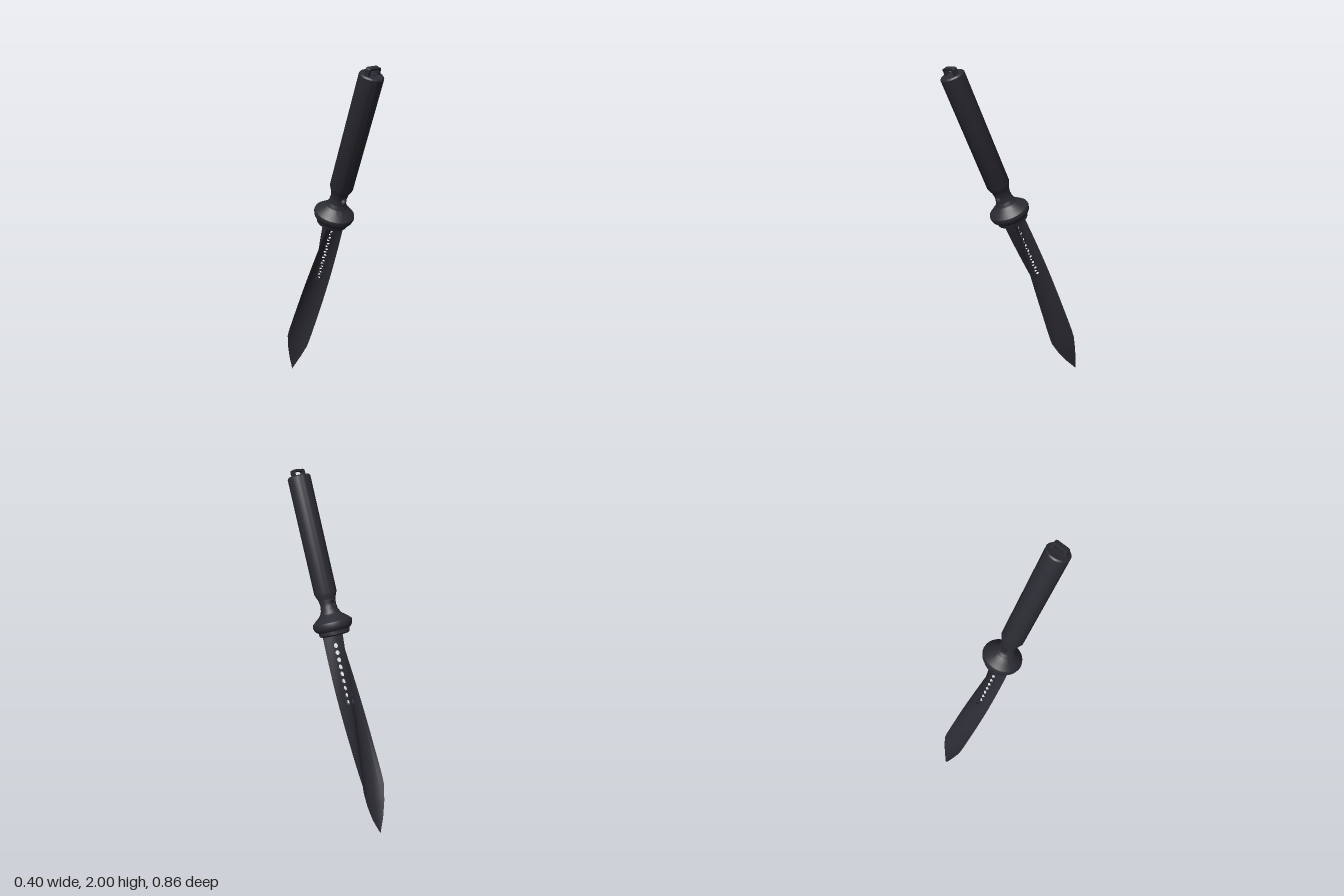
import * as THREE from 'three';
import { mergeGeometries, mergeVertices, toCreasedNormals } from 'three/addons/utils/BufferGeometryUtils.js';

const DEG = Math.PI / 180;
const lerp = THREE.MathUtils.lerp;

// value from a short table of [position, value] pairs
function table(rows, t) {
  for (let i = 1; i < rows.length; i++) {
    const [a, va] = rows[i - 1], [b, vb] = rows[i];
    if (t <= b) return lerp(va, vb, THREE.MathUtils.clamp((t - a) / (b - a), 0, 1));
  }
  return rows[rows.length - 1][1];
}

// surface patch: f(u, v) gives a point, u and v run over the given ranges
function patch(f, [u0, u1], [v0, v1], n, m) {
  const pos = [], idx = [];
  for (let j = 0; j <= m; j++) {
    for (let i = 0; i <= n; i++) pos.push(...f(lerp(u0, u1, i / n), lerp(v0, v1, j / m)));
  }
  for (let j = 0; j < m; j++) {
    for (let i = 0; i < n; i++) {
      const a = j * (n + 1) + i, b = a + 1, d = a + n + 1, c = d + 1;
      idx.push(a, b, c, a, c, d);
    }
  }
  const g = new THREE.BufferGeometry();
  g.setAttribute('position', new THREE.Float32BufferAttribute(pos, 3));
  g.setIndex(idx);
  return g;
}

// rectangular patch with an oval opening in its middle
function holedPatch(f, [u0, u1], [v0, v1], ru, rv) {
  const uc = (u0 + u1) / 2, vc = (v0 + v1) / 2;
  const ring = (rho, a) => {
    const c = Math.cos(a), s = Math.sin(a), k = Math.max(Math.abs(c), Math.abs(s));
    return f(uc + lerp(ru * c, (u1 - u0) / 2 * c / k, rho), vc + lerp(rv * s, (v1 - v0) / 2 * s / k, rho));
  };
  return patch(ring, [0, 1], [0, 2 * Math.PI], 4, 24);
}

function join(parts) {
  const g = mergeVertices(mergeGeometries(parts), 1e-5);
  g.computeVertexNormals();
  return g;
}

// blade section: three edges twisting about the axis; t is the distance below the handle top
const EDGE = [[0.9, 0.073], [1.3, 0.078], [1.6, 0.081], [1.8, 0.086], [1.85, 0.085],
  [1.95, 0.065], [2.05, 0.036], [2.14, 0]];
function flute(k) {
  return (v, t) => {
    const r = table(EDGE, t), core = Math.min(0.017, r * 0.25);
    const a = (60 + 120 * k + 72 * (t - 0.85)) * DEG;
    const out = core + (r / 2 - core) * v * v, side = v * r * 0.866;
    return [out * Math.cos(a) - side * Math.sin(a), -t, out * Math.sin(a) + side * Math.cos(a)];
  };
}

// neck between handle and guard
const NECK = [[0.69, 0.058], [0.715, 0.05], [0.745, 0.046], [0.775, 0.05], [0.8, 0.062]];
const neckPoint = (a, t) => {
  const r = table(NECK, t);
  return [r * Math.cos(a * DEG), -t, r * Math.sin(a * DEG)];
};

export function createModel() {
  const black = new THREE.MeshStandardMaterial({ color: 0x2b2b33, side: THREE.DoubleSide });
  black.name = 'blackened steel';
  const knife = new THREE.Group();
  knife.name = 'dagger';
  const add = (name, geometry) => {
    const mesh = new THREE.Mesh(geometry, black);
    mesh.name = name;
    knife.add(mesh);
    return mesh;
  };
  const turned = (points) => toCreasedNormals(
    new THREE.LatheGeometry(points.map(([r, y]) => new THREE.Vector2(r, y)), 48), 35 * DEG);

  // handle tube with chamfered ends
  add('handle', turned([[0, -0.7], [0.056, -0.7], [0.066, -0.675], [0.066, -0.008], [0.06, 0], [0, 0]]));

  // guard disc and the collar below it
  add('guard', turned([[0, -0.925], [0.078, -0.925], [0.089, -0.917], [0.091, -0.897], [0.1, -0.893],
    [0.112, -0.877], [0.117, -0.858], [0.114, -0.845], [0.088, -0.822], [0.072, -0.81], [0.06, -0.797], [0, -0.797]]));

  // neck pierced by a cross hole
  const neckParts = [];
  for (const a of [60, 240]) {
    neckParts.push(holedPatch(neckPoint, [a - 40, a + 40], [0.715, 0.775], 24, 0.021));
    neckParts.push(patch(neckPoint, [a + 40, a + 140], [0.715, 0.775], 14, 6));
    neckParts.push(patch(neckPoint, [a - 40, a + 140], [0.69, 0.715], 24, 3));
    neckParts.push(patch(neckPoint, [a - 40, a + 140], [0.775, 0.8], 24, 3));
  }
  add('neck', join(neckParts));
  const tunnel = add('neckHole', new THREE.CylinderGeometry(0.02, 0.02, 0.084, 24, 1, true));
  tunnel.position.y = -0.745;
  tunnel.quaternion.setFromUnitVectors(new THREE.Vector3(0, 1, 0),
    new THREE.Vector3(Math.cos(60 * DEG), 0, Math.sin(60 * DEG)));

  // lanyard loop on the pommel
  const staple = (w, h, c, Path) => {
    const s = new Path();
    s.moveTo(-w, -0.004);
    s.lineTo(w, -0.004);
    s.lineTo(w, h - c);
    s.quadraticCurveTo(w, h, w - c, h);
    s.lineTo(-w + c, h);
    s.quadraticCurveTo(-w, h, -w, h - c);
    s.closePath();
    return s;
  };
  const loopShape = staple(0.043, 0.038, 0.014, THREE.Shape);
  const slot = new THREE.Path(staple(0.03, 0.027, 0.009, THREE.Path).getPoints(6).map((p) =>
    new THREE.Vector2(p.x, Math.max(p.y, 0.002))));
  loopShape.holes.push(slot);
  const loop = add('lanyardLoop', new THREE.ExtrudeGeometry(loopShape, { depth: 0.028, bevelEnabled: false, curveSegments: 6 })
    .translate(0, 0, -0.014));
  loop.rotation.y = 30 * DEG;

  // three-edged twisted blade with a row of openings along each hollow
  const first = 0.965, step = 0.0425, count = 9, last = first + step * count;
  for (let k = 0; k < 3; k++) {
    const f = flute(k);
    const parts = [
      patch(f, [-1, 1], [0.9, first], 16, 3),
      patch(f, [-1, -0.35], [first, last], 6, 18),
      patch(f, [0.35, 1], [first, last], 6, 18),
      patch(f, [-1, 1], [last, 1.85], 16, 20),
      patch(f, [-1, 1], [1.85, 2.14], 16, 12),
    ];
    for (let i = 0; i < count; i++) {
      const t = first + i * step;
      parts.push(holedPatch(f, [-0.35, 0.35], [t, t + step], 0.21, 0.0155));
    }
    add('bladeFlute' + (k + 1), join(parts));
  }

  // lean the dagger so that its tip rests on the ground
  const axis = new THREE.Vector3(0.139, 0.917, 0.375).normalize();
  const across = new THREE.Vector3(1, 0, 0).addScaledVector(axis, -axis.x).normalize();
  const depth = new THREE.Vector3().crossVectors(across, axis);
  knife.quaternion.setFromRotationMatrix(new THREE.Matrix4().makeBasis(across, axis, depth));
  knife.position.set(0.13, 1.963, 0.378);

  const model = new THREE.Group();
  model.name = 'model';
  model.add(knife);
  return model;
}
